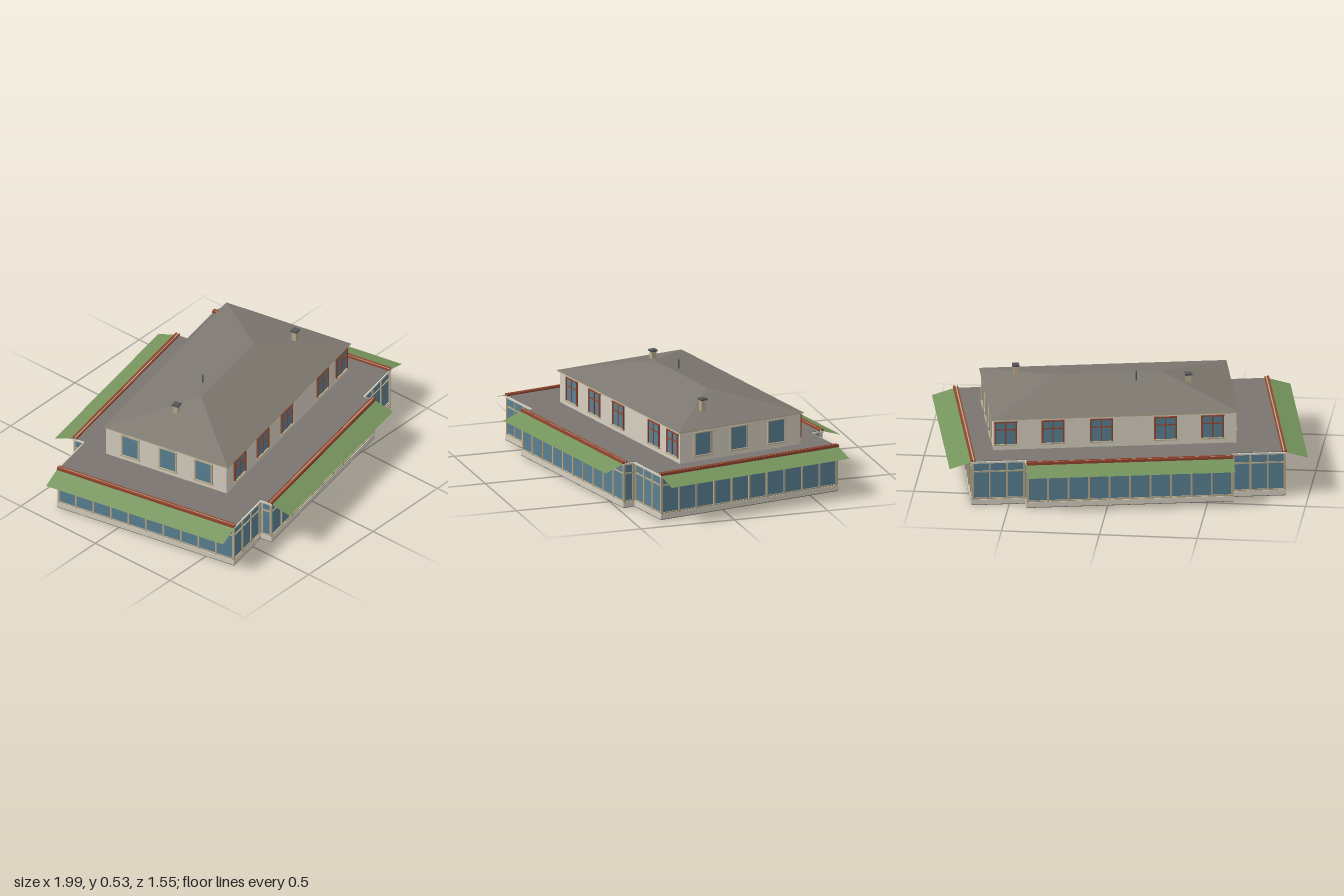
import * as THREE from 'three';

const mat = (color, side = THREE.FrontSide) => new THREE.MeshStandardMaterial({ color, side, flatShading: true });
const M = {
  glass: mat(0x5a8092), cream: mat(0xd6cfc0), trim: mat(0xb8ab8c), red: mat(0x94452f),
  roof: mat(0x7d7870), deck: mat(0x7a756f), floor: mat(0x6a6863), dark: mat(0x55565c),
  awning: mat(0x75945c, THREE.DoubleSide),
};

// half sizes of the ground floor block and of the projecting bays
const W = 0.802, D = 0.518, BW = 0.528, BD = 0.581;

function add(parent, name, geometry, material) {
  const mesh = new THREE.Mesh(geometry, material);
  mesh.name = name;
  parent.add(mesh);
  return mesh;
}

// box given by its centre in x and z, and its bottom and top
function box(parent, name, material, x, z, w, d, y0, y1) {
  const mesh = add(parent, name, new THREE.BoxGeometry(w, y1 - y0, d), material);
  mesh.position.set(x, (y0 + y1) / 2, z);
  return mesh;
}

// a group whose local +z points out of a wall
function facing(parent, name, x, z, angle) {
  const g = new THREE.Group();
  g.name = name;
  g.position.set(x, 0, z);
  g.rotation.y = angle;
  parent.add(g);
  return g;
}

// cross-shaped slab following the ground floor outline
function crossSlab(parent, name, material, inset, y0, y1) {
  const w = W - inset, d = D - inset, bw = BW - inset, bd = BD - inset;
  const pts = [[w, -d], [w, d], [bw, d], [bw, bd], [-bw, bd], [-bw, d],
    [-w, d], [-w, -d], [-bw, -d], [-bw, -bd], [bw, -bd], [bw, -d]];
  const shape = new THREE.Shape(pts.map(([x, y]) => new THREE.Vector2(x, y)));
  const geo = new THREE.ExtrudeGeometry(shape, { depth: y1 - y0, bevelEnabled: false });
  geo.rotateX(-Math.PI / 2);
  add(parent, name, geo, material).position.y = y0;
}

// mullions and rails in front of the glazing
function curtainWall(parent, x, z, angle, width, panels) {
  const g = facing(parent, 'glazingBars', x, z, angle);
  for (let i = 0; i <= panels; i++) {
    box(g, 'mullion', M.trim, (i / panels - 0.5) * (width - 0.012), -0.007, 0.009, 0.012, 0.03, 0.226);
  }
  for (const y of [0.03, 0.176]) box(g, 'transom', M.trim, 0, -0.008, width - 0.012, 0.01, y, y + 0.007);
}

function awning(parent, x, z, angle, width, reach) {
  const g = facing(parent, 'awning', x, z, angle);
  const drop = 0.034;
  const cloth = add(g, 'awningCloth', new THREE.PlaneGeometry(width, Math.hypot(reach, drop)), M.awning);
  cloth.rotation.x = -Math.PI / 2 + Math.atan2(drop, reach);
  cloth.position.set(0, 0.2 + drop / 2, reach / 2);
}

function parapet(parent, x, z, angle, width) {
  const g = facing(parent, 'parapet', x, z, angle);
  box(g, 'parapetRail', M.red, 0, -0.002, width, 0.01, 0.233, 0.247);
  box(g, 'parapetCap', M.trim, 0, -0.011, width, 0.006, 0.236, 0.245);
  box(g, 'innerRail', M.red, 0, -0.018, width, 0.006, 0.236, 0.247);
}

// upper floor window with frame, cross bars, lintel and sill
function upperWindow(parent, x, z, angle, w, frame, cross) {
  const g = facing(parent, 'window', x, z, angle);
  const y0 = 0.27, y1 = 0.392;
  box(g, 'windowPane', M.glass, 0, 0.001, w, 0.004, y0, y1);
  for (const s of [-1, 1]) box(g, 'windowJamb', frame, s * w / 2, 0.003, 0.008, 0.01, y0, y1);
  box(g, 'windowLintel', frame, 0, 0.003, w + 0.01, 0.01, y1 - 0.006, y1);
  box(g, 'windowSill', M.trim, 0, 0.005, w + 0.016, 0.014, y0 - 0.006, y0);
  if (cross) {
    box(g, 'windowBar', frame, 0, 0.003, 0.006, 0.007, y0, y1);
    box(g, 'windowBar', frame, 0, 0.003, w, 0.007, 0.345, 0.351);
  }
}

function hipRoof(x0, x1, z0, z1, y, r0, r1, rz, top) {
  const a = [x0, y, z1], b = [x1, y, z1], c = [x1, y, z0], d = [x0, y, z0];
  const p = [r0, top, rz], q = [r1, top, rz];
  const tris = [a, b, q, a, q, p, b, c, q, c, d, p, c, p, q, d, a, p, a, d, c, a, c, b];
  const geo = new THREE.BufferGeometry();
  geo.setAttribute('position', new THREE.Float32BufferAttribute(tris.flat(), 3));
  geo.computeVertexNormals();
  return geo;
}

export function createModel() {
  const model = new THREE.Group();
  model.name = 'pavilion';
  const house = new THREE.Group();
  house.name = 'building';
  house.rotation.y = 0.192;
  model.add(house);

  // ground floor
  crossSlab(house, 'floorSlab', M.floor, 0, 0, 0.003);
  crossSlab(house, 'plinth', M.cream, 0, 0.003, 0.03);
  crossSlab(house, 'groundFloorGlass', M.glass, 0.008, 0.03, 0.226);
  crossSlab(house, 'fasciaBand', M.cream, -0.002, 0.226, 0.235);
  crossSlab(house, 'terraceDeck', M.deck, 0.006, 0.235, 0.238);

  // the same facade treatment on opposite sides
  const cornerW = W - BW;
  for (const s of [1, -1]) {
    const frontAngle = s > 0 ? 0 : Math.PI, sideAngle = s * Math.PI / 2;
    curtainWall(house, 0, s * BD, frontAngle, 2 * BW, 10);
    curtainWall(house, s * W, 0, sideAngle, 2 * D, 10);
    for (const t of [1, -1]) {
      curtainWall(house, t * (BW + cornerW / 2), s * D, frontAngle, cornerW, 3);
      curtainWall(house, t * BW, s * (D + BD) / 2, t * Math.PI / 2, BD - D, 1);
    }
    parapet(house, 0, s * BD, frontAngle, 2 * BW);
    parapet(house, s * W, 0, sideAngle, 2 * D);
    awning(house, 0, s * BD, frontAngle, 2 * BW, 0.106);
    awning(house, s * W, 0, sideAngle, 2 * D, 0.112);
  }

  // upper floor
  const x0 = -0.573, x1 = 0.688, z0 = -0.379, z1 = 0.348, inset = 0.011;
  const cx = (x0 + x1) / 2, cz = (z0 + z1) / 2;
  box(house, 'upperWalls', M.cream, cx, cz, x1 - x0 - 2 * inset, z1 - z0 - 2 * inset, 0.236, 0.403);
  for (const x of [-0.432, -0.198, 0.047, 0.414, 0.607]) upperWindow(house, x, z1 - inset, 0, 0.108, M.red, true);
  for (const x of [0.615, 0.374, 0.127, -0.2, -0.44]) upperWindow(house, x, z0 + inset, Math.PI, 0.108, M.red, true);
  for (const z of [0.204, -0.005, -0.224]) {
    upperWindow(house, x1 - inset, z, Math.PI / 2, 0.096, M.trim, false);
    upperWindow(house, x0 + inset, z, -Math.PI / 2, 0.096, M.trim, false);
  }

  // hipped roof with its eaves board
  box(house, 'eavesBoard', M.trim, cx, cz, x1 - x0, z1 - z0, 0.402, 0.407);
  add(house, 'hipRoof', hipRoof(x0, x1, z0, z1, 0.407, -0.21, 0.327, -0.014, 0.5), M.roof);

  // chimneys and vent pipe
  for (const [x, z] of [[-0.342, -0.082], [0.522, 0.117]]) {
    box(house, 'chimney', M.trim, x, z, 0.026, 0.026, 0.42, 0.504);
    box(house, 'chimneyCap', M.dark, x, z, 0.036, 0.036, 0.504, 0.513);
  }
  const pipe = add(house, 'ventPipe', new THREE.CylinderGeometry(0.004, 0.004, 0.07, 8), M.dark);
  pipe.position.set(-0.076, 0.496, -0.081);

  return model;
}
